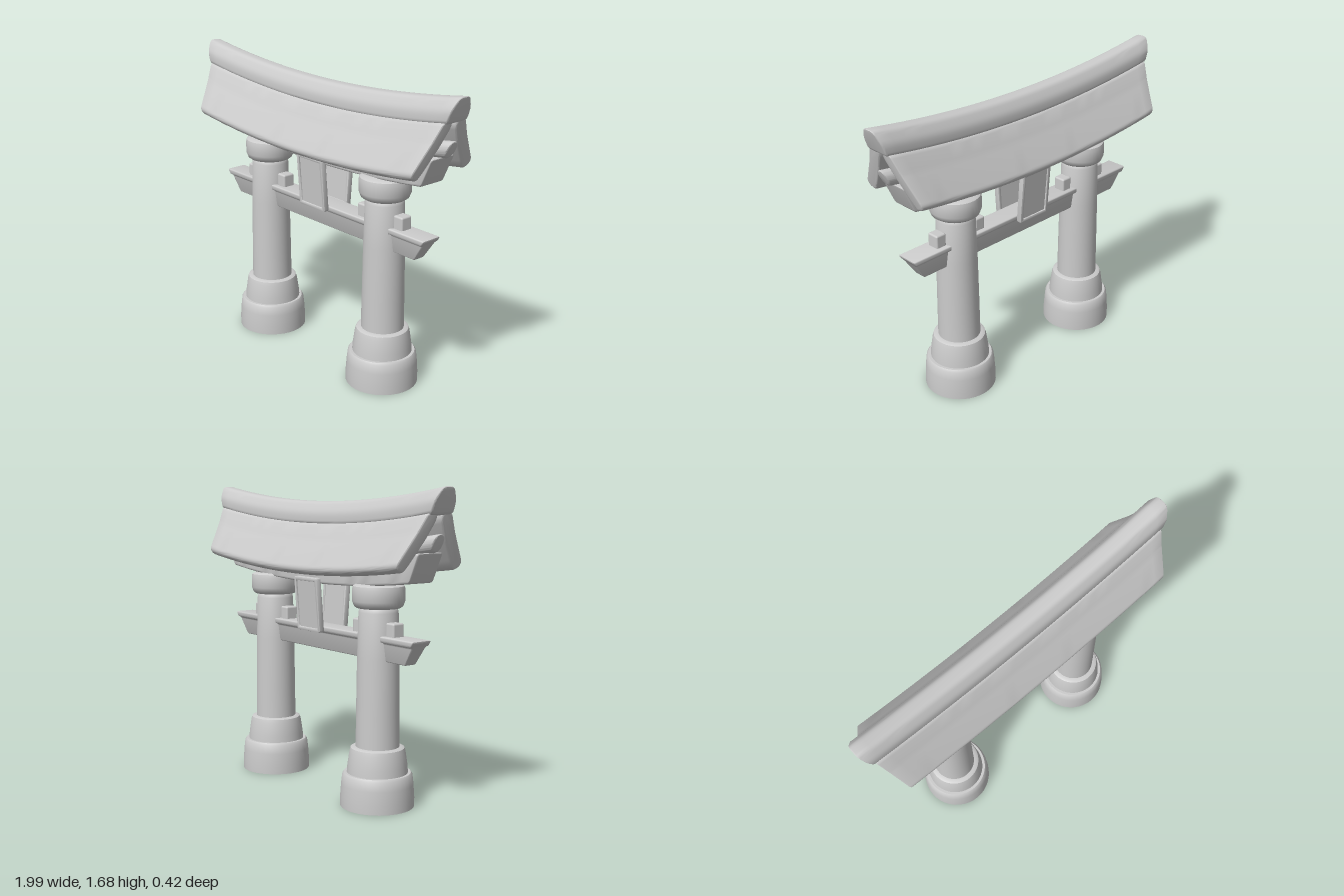
import * as THREE from 'three';
import { toCreasedNormals } from 'three/addons/utils/BufferGeometryUtils.js';
import { RoundedBoxGeometry } from 'three/addons/geometries/RoundedBoxGeometry.js';

const grey = new THREE.MeshStandardMaterial({ color: 0xcccccc, side: THREE.DoubleSide });

function addMesh(parent, name, geometry, x = 0, y = 0, z = 0) {
  const mesh = new THREE.Mesh(geometry, grey);
  mesh.name = name;
  mesh.position.set(x, y, z);
  parent.add(mesh);
  return mesh;
}

// Closed polygon with softened corners
function roundedShape(points, r) {
  const pts = points.map(([u, v]) => new THREE.Vector2(u, v));
  const shape = new THREE.Shape();
  pts.forEach((p, i) => {
    const prev = pts[(i + pts.length - 1) % pts.length];
    const next = pts[(i + 1) % pts.length];
    const toward = (q) => p.clone().lerp(q, Math.min(0.45, r / p.distanceTo(q)));
    const a = toward(prev), b = toward(next);
    if (i === 0) shape.moveTo(a.x, a.y);
    else shape.lineTo(a.x, a.y);
    shape.quadraticCurveTo(p.x, p.y, b.x, b.y);
  });
  shape.closePath();
  return shape;
}

// Beam along x from a (z, y) section; ends lean outward, and the whole bends upward
function beam(section, { r = 0.015, half, y0, lean, bend = 0.08, steps = 28 }) {
  const bevel = 0.01;
  const geo = new THREE.ExtrudeGeometry(roundedShape(section, r), {
    depth: 2 - 2 * bevel, steps, curveSegments: 4,
    bevelThickness: bevel, bevelSize: bevel, bevelOffset: -bevel, bevelSegments: 3,
  });
  const pos = geo.attributes.position;
  for (let i = 0; i < pos.count; i++) {
    const u = pos.getX(i), v = pos.getY(i), t = pos.getZ(i) - 1 + bevel;
    const x = t * (half + lean * (v - y0));
    pos.setXYZ(i, x, v + bend * x * x, -u);
  }
  return toCreasedNormals(geo, 0.6);
}

// Mirrors a half outline across z = 0
const mirrored = (pts) => [...pts, ...pts.map(([u, v]) => [-u, v]).reverse()];

function lathe(points) {
  const profile = points.map(([x, y]) => new THREE.Vector2(x, y));
  return toCreasedNormals(new THREE.LatheGeometry(profile, 40), 0.7);
}

function createPillar() {
  const pillar = new THREE.Group();
  // Stepped base, hollow underneath
  addMesh(pillar, 'base', lathe([
    [0, 0.15], [0.16, 0.15], [0.172, 0.12], [0.18, 0], [0.198, 0], [0.198, 0.05], [0.193, 0.12],
    [0.187, 0.17], [0.178, 0.182], [0.163, 0.182], [0.16, 0.22], [0.149, 0.295],
    [0.143, 0.315], [0.13, 0.322], [0.1, 0.322],
  ]));
  addMesh(pillar, 'shaft', lathe([
    [0.117, 0.3], [0.115, 0.5], [0.111, 0.8], [0.105, 1.035], [0.099, 1.055], [0.09, 1.065],
  ]));
  addMesh(pillar, 'collar', lathe([
    [0, 1.058], [0.115, 1.058], [0.128, 1.067], [0.139, 1.095], [0.139, 1.155],
    [0.135, 1.172], [0.122, 1.18], [0, 1.18],
  ]));
  return pillar;
}

function createPlaque() {
  const plaque = new THREE.Group();
  const frame = roundedShape([[-0.105, -0.15], [0.105, -0.15], [0.105, 0.15], [-0.105, 0.15]], 0.01);
  frame.holes.push(roundedShape([[-0.085, -0.13], [-0.085, 0.13], [0.085, 0.13], [0.085, -0.13]], 0.006));
  const frameGeo = new THREE.ExtrudeGeometry(frame, {
    depth: 0.024, curveSegments: 3, bevelThickness: 0.004, bevelSize: 0.004, bevelOffset: -0.004, bevelSegments: 2,
  });
  addMesh(plaque, 'plaqueFrame', toCreasedNormals(frameGeo, 0.6), 0, 0, -0.012);
  addMesh(plaque, 'plaquePanel', new THREE.BoxGeometry(0.18, 0.27, 0.02), 0, 0, -0.002);
  return plaque;
}

export function createModel() {
  const gate = new THREE.Group();
  gate.name = 'gate';

  // Ridge and supporting timbers
  addMesh(gate, 'ridge', beam(
    mirrored([[0.076, 1.475], [0.073, 1.54], [0.036, 1.602]]),
    { r: 0.022, half: 0.95, y0: 1.475, lean: 0.4 }));
  const pole = Array.from({ length: 12 }, (_, i) => {
    const a = (i / 12) * Math.PI * 2;
    return [0.038 * Math.cos(a), 1.34 + 0.045 * Math.sin(a)];
  });
  addMesh(gate, 'ridgePole', beam(pole, { r: 0.008, half: 0.905, y0: 1.295, lean: 0.5 }));
  addMesh(gate, 'upperBeam', beam(
    mirrored([[0.082, 1.155], [0.082, 1.3]]),
    { half: 0.805, y0: 1.155, lean: 0.5 }));

  // Sloping roof panels
  for (const side of [1, -1]) {
    const section = [
      [0.015, 1.485], [0.078, 1.485], [0.125, 1.395], [0.215, 1.25],
      [0.205, 1.223], [0.165, 1.206], [0.135, 1.243], [0.06, 1.36], [0.015, 1.45],
    ].map(([u, v]) => [u * side, v]);
    addMesh(gate, side > 0 ? 'backRoofPanel' : 'frontRoofPanel',
      beam(section, { r: 0.018, half: 0.86, y0: 1.21, lean: 0.3 }));
  }

  // Flanged tie beam
  addMesh(gate, 'tieBeam', beam(
    mirrored([[0.036, 0.787], [0.046, 0.887], [0.062, 0.89], [0.062, 0.92]]),
    { r: 0.01, half: 0.735, y0: 0.787, lean: 0.67, bend: 0, steps: 1 }));

  // Pillars with a wedge on each side
  for (const side of [1, -1]) {
    const pillar = createPillar();
    pillar.name = side > 0 ? 'leftPillar' : 'rightPillar';
    pillar.position.x = side * 0.481;
    gate.add(pillar);
    for (const x of [0.34, 0.612]) {
      addMesh(gate, 'wedge', new RoundedBoxGeometry(0.065, 0.085, 0.072, 2, 0.01), side * x, 0.948, 0);
    }
  }

  // Tilted plaques, front and back
  const plaques = [['frontPlaque', 0.085, 0], ['backPlaque', -0.1, Math.PI]];
  for (const [name, z, turn] of plaques) {
    const plaque = createPlaque();
    plaque.name = name;
    plaque.rotation.set(0.08, turn, 0, 'YXZ');
    plaque.position.set(0, 1.04, z);
    gate.add(plaque);
  }
  return gate;
}
